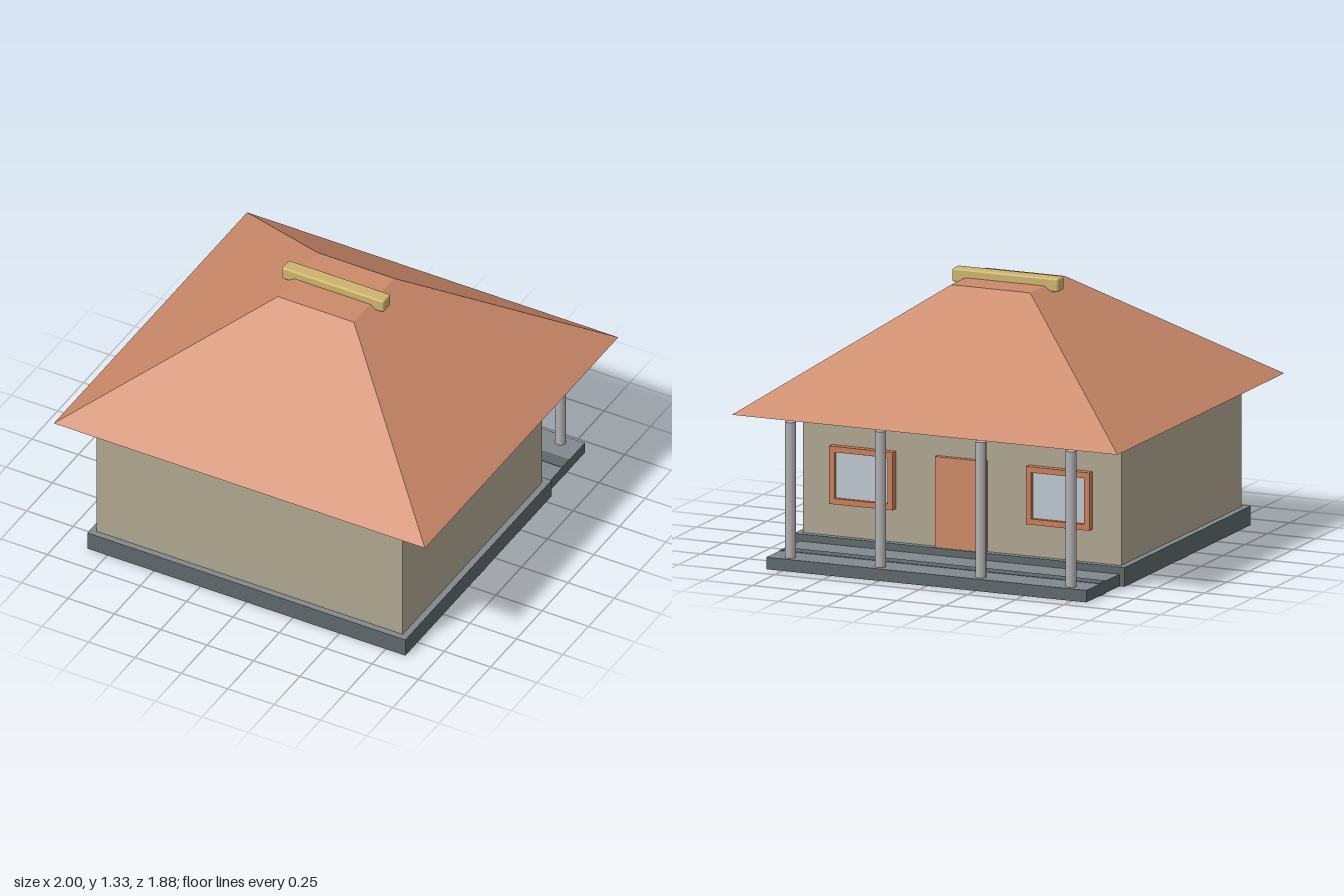
import * as THREE from 'three';
import { RoundedBoxGeometry } from 'three/addons/geometries/RoundedBoxGeometry.js';

const mat = (name, color) => {
  const m = new THREE.MeshStandardMaterial({ color });
  m.name = name;
  return m;
};

export function createModel() {
  const house = new THREE.Group();
  house.name = 'house';

  const terracotta = mat('terracotta', 0xcc8a6a);
  const plaster = mat('plaster', 0xafa690);
  const darkStone = mat('dark stone', 0x5e676b);
  const paleStone = mat('pale stone', 0x80898f);
  const frameWood = mat('frame wood', 0xc87e58);
  const glassBlue = mat('glass', 0xbcc6d0);
  const steel = mat('steel', 0xb0b0b2);
  const brass = mat('ridge yellow', 0xccb36c);

  const add = (name, geometry, material, parent = house) => {
    const mesh = new THREE.Mesh(geometry, material);
    mesh.name = name;
    parent.add(mesh);
    return mesh;
  };
  // Box given by its min and max on each axis
  const box = (name, [x0, x1], [y0, y1], [z0, z1], material, parent) => {
    const mesh = add(name, new THREE.BoxGeometry(x1 - x0, y1 - y0, z1 - z0), material, parent);
    mesh.position.set((x0 + x1) / 2, (y0 + y1) / 2, (z0 + z1) / 2);
    return mesh;
  };

  // Stone slabs: dark sides, pale top and underside
  const slabFaces = [darkStone, darkStone, paleStone, paleStone, darkStone, darkStone];
  box('foundation', [-0.857, 0.857], [0.002, 0.095], [-0.548, 0.87], slabFaces);
  box('porchFloor', [-0.83, 0.83], [0.002, 0.06], [-0.92, -0.548], slabFaces);

  // Dark bands across the slabs
  box('foundationBand', [-0.857, 0.857], [0, 0.003], [0.08, 0.16], darkStone);
  box('porchBandBelow', [-0.83, 0.83], [0, 0.003], [-0.77, -0.7], darkStone);
  box('porchBandAbove', [-0.83, 0.83], [0.059, 0.062], [-0.77, -0.7], darkStone);

  // Walls
  box('walls', [-0.825, 0.825], [0.095, 0.735], [-0.515, 0.838], plaster);

  // Roof: a box whose upper corners are drawn inwards
  const roof = new THREE.BoxGeometry(2, 0.55, 1.876);
  const p = roof.attributes.position;
  for (let i = 0; i < p.count; i++) {
    if (p.getY(i) > 0) {
      p.setX(i, Math.sign(p.getX(i)) * 0.205);
      p.setZ(i, Math.sign(p.getZ(i)) * 0.195);
    }
  }
  roof.computeVertexNormals();
  add('roof', roof, terracotta).position.y = 1.011;

  // Ridge cap
  add('ridgeCap', new RoundedBoxGeometry(0.55, 0.066, 0.072, 2, 0.01), brass).position.y = 1.293;

  // Porch columns
  for (const x of [-0.727, -0.26, 0.26, 0.727]) {
    add('porchColumn', new THREE.CylinderGeometry(0.026, 0.026, 0.655, 12), steel)
      .position.set(x, 0.3875, -0.87);
  }

  // Door on the porch side
  box('door', [-0.13, 0.13], [0.095, 0.535], [-0.54, -0.51], terracotta);

  // Windows either side of the door
  for (const side of [-1, 1]) {
    const win = new THREE.Group();
    win.name = 'window';
    win.position.set(side * 0.51, 0.395, 0);
    house.add(win);

    const w = 0.165, h = 0.14, t = 0.028;
    const frame = new THREE.Shape([[-w, -h], [w, -h], [w, h], [-w, h]]
      .map(([x, y]) => new THREE.Vector2(x, y)));
    frame.holes.push(new THREE.Path([[t - w, t - h], [t - w, h - t], [w - t, h - t], [w - t, t - h]]
      .map(([x, y]) => new THREE.Vector2(x, y))));
    add('windowFrame', new THREE.ExtrudeGeometry(frame, { depth: 0.037, bevelEnabled: false }),
      frameWood, win).position.z = -0.549;
    box('windowGlass', [t - w, w - t], [t - h, h - t], [-0.53, -0.522], glassBlue, win);
  }

  return house;
}
